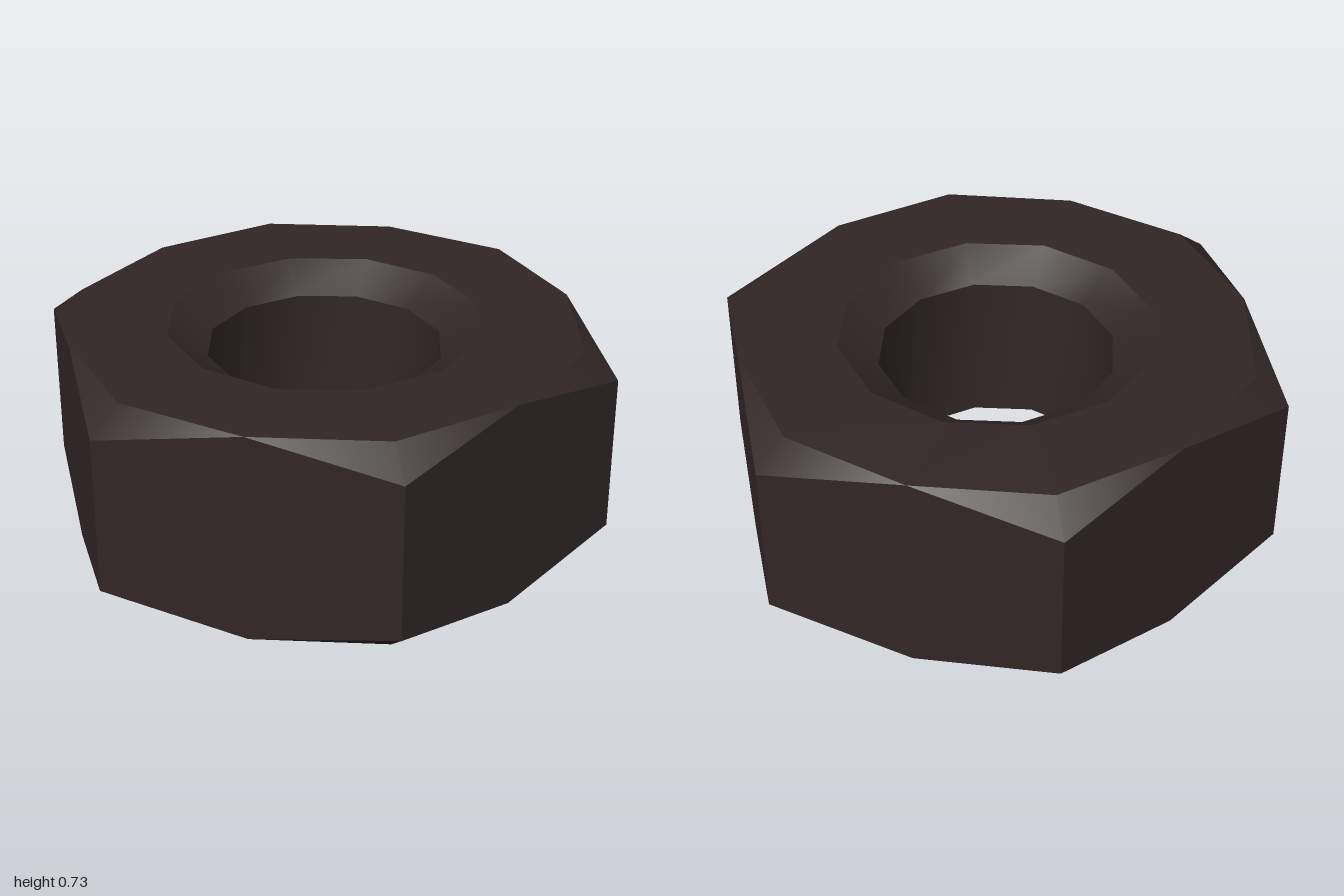
import * as THREE from 'three';
import { mergeVertices } from 'three/addons/utils/BufferGeometryUtils.js';

const HEIGHT = 0.73;
const CHAMFER = 0.09;
const SEGMENTS = 12;
const FLAT = Math.sqrt(3) / 2; // distance from the axis to the middle of a hexagon side

// Ring of 12 points; hexagon corners are the even points, side middles the odd ones
function ring(cornerRadius, cornerY, middleRadius = cornerRadius, middleY = cornerY) {
  return Array.from({ length: SEGMENTS }, (_, i) => {
    const angle = (i / SEGMENTS) * Math.PI * 2;
    const r = i % 2 ? middleRadius : cornerRadius;
    return [r * Math.sin(angle), i % 2 ? middleY : cornerY, r * Math.cos(angle)];
  });
}

// Closed band between two rings
function band(a, b, smooth) {
  const index = [];
  for (let i = 0; i < SEGMENTS; i++) {
    const j = (i + 1) % SEGMENTS;
    index.push(i, j, j + SEGMENTS, i, j + SEGMENTS, i + SEGMENTS);
  }
  let geometry = new THREE.BufferGeometry();
  geometry.setAttribute('position', new THREE.Float32BufferAttribute([...a, ...b].flat(), 3));
  geometry.setIndex(index);
  geometry = smooth ? mergeVertices(geometry) : geometry.toNonIndexed();
  geometry.computeVertexNormals();
  return geometry;
}

export function createModel() {
  const nut = new THREE.Group();
  nut.name = 'hexNut';
  const darkSteel = new THREE.MeshStandardMaterial({ color: 0x312626 });
  darkSteel.name = 'dark steel';

  // Cross-section rings, running up the outside and back down the bore
  const boreBottom = ring(0.405, CHAMFER);
  const rimBottom = ring(0.54, 0);
  const faceBottom = ring(0.885, 0, FLAT, 0);
  const sideBottom = ring(1, CHAMFER, FLAT, 0);
  const sideTop = ring(1, HEIGHT - CHAMFER, FLAT, HEIGHT);
  const faceTop = ring(0.885, HEIGHT, FLAT, HEIGHT);
  const rimTop = ring(0.54, HEIGHT);
  const boreTop = ring(0.405, HEIGHT - CHAMFER);

  const parts = [
    ['bottomCountersink', boreBottom, rimBottom, true],
    ['bottomFace', rimBottom, faceBottom, false],
    ['bottomCornerChamfers', faceBottom, sideBottom, true],
    ['hexSides', sideBottom, sideTop, false],
    ['topCornerChamfers', sideTop, faceTop, true],
    ['topFace', faceTop, rimTop, false],
    ['topCountersink', rimTop, boreTop, true],
    ['bore', boreTop, boreBottom, true],
  ];
  for (const [name, a, b, smooth] of parts) {
    const mesh = new THREE.Mesh(band(a, b, smooth), darkSteel);
    mesh.name = name;
    nut.add(mesh);
  }
  return nut;
}
